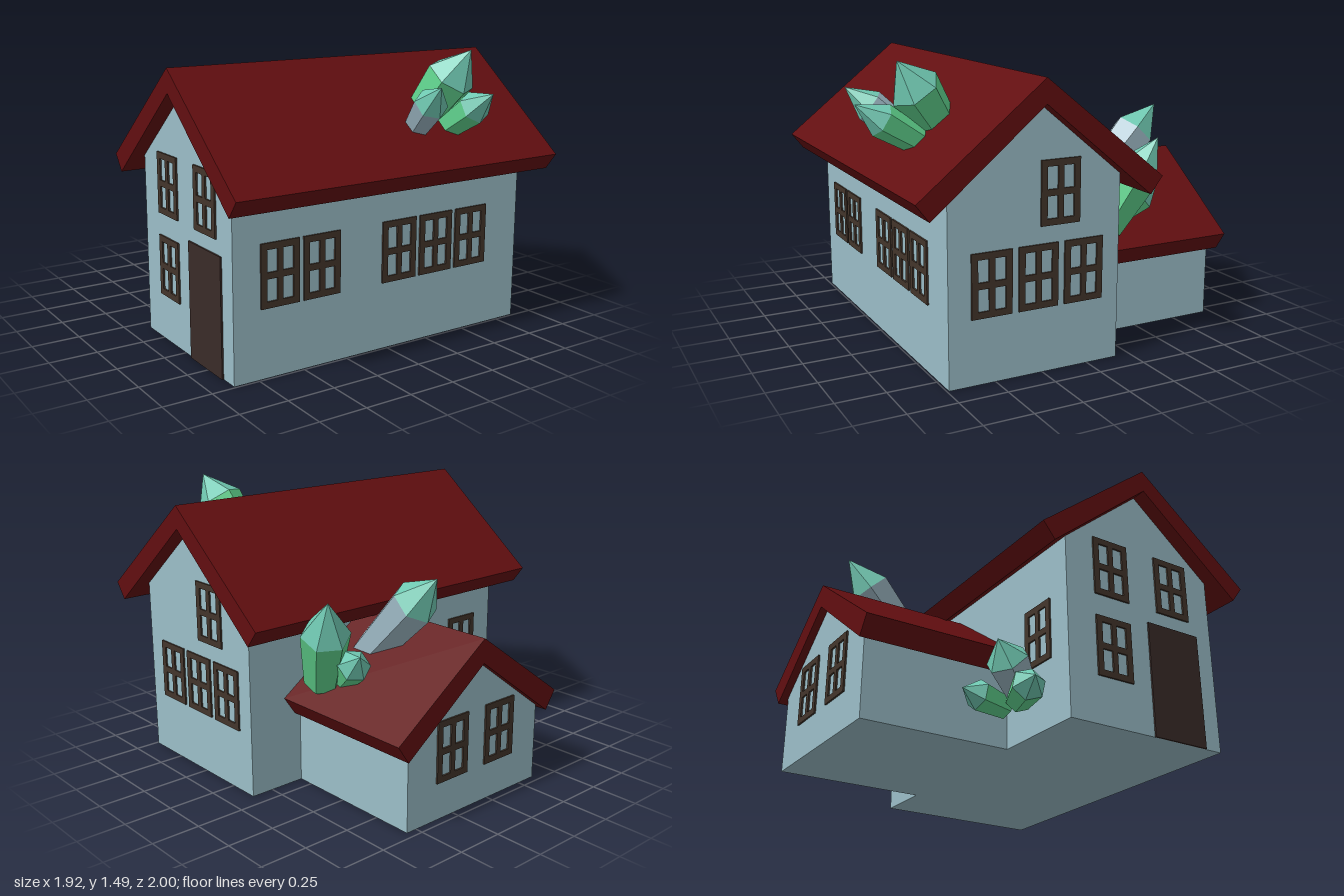
import * as THREE from 'three';

const mat = (name, color, extra = {}) => {
  const m = new THREE.MeshStandardMaterial({ color, ...extra });
  m.name = name;
  return m;
};

export function createModel() {
  const model = new THREE.Group();
  model.name = 'crystalCottage';
  const wall = mat('pale blue wall', 0x9bbec8);
  const roof = mat('dark red roof', 0x620e10);
  const frame = mat('brown frame', 0x43352b);
  const doorMat = mat('dark door', 0x3a2b28);
  const flat = { flatShading: true };
  const teal = mat('teal crystal tip', 0x70c9b2, flat);
  const green = mat('green crystal', 0x62d690, flat);
  const grey = mat('blue grey crystal', 0x9fbac6, flat);

  const add = (parent, name, geo, m) => {
    const mesh = new THREE.Mesh(geo, m);
    mesh.name = name;
    parent.add(mesh);
    return mesh;
  };
  const shapeOf = (pts) => new THREE.Shape(pts.map(([x, y]) => new THREE.Vector2(x, y)));
  const extrude = (shape, depth) => new THREE.ExtrudeGeometry(shape, { depth, bevelEnabled: false });

  // Gabled block: walls and an overhanging chevron roof, ridge along local z
  function gabled(name, { half, apex, ridge, eave, soffit, wallZ, roofZ }) {
    const g = new THREE.Group();
    g.name = name;
    const shoulder = apex - (half * (apex - soffit[1])) / soffit[0];
    const walls = extrude(shapeOf([[-half, 0], [half, 0], [half, shoulder], [0, apex], [-half, shoulder]]), wallZ[1] - wallZ[0]);
    add(g, name + 'Walls', walls.translate(0, 0, wallZ[0]), wall);
    const [ex, ey] = eave, [sx, sy] = soffit;
    const top = extrude(shapeOf([[sx, sy], [ex, ey], [0, ridge], [-ex, ey], [-sx, sy], [0, apex]]), roofZ[1] - roofZ[0]);
    add(g, name + 'Roof', top.translate(0, 0, roofZ[0]), roof);
    model.add(g);
    return g;
  }
  const main = gabled('mainHouse', {
    half: 0.455, apex: 1.315, ridge: 1.435, eave: [0.64, 0.925], soffit: [0.575, 0.84],
    wallZ: [-0.88, 0.87], roofZ: [-0.96, 0.96],
  });
  main.rotation.y = Math.PI / 2;
  main.position.z = 0.285;
  const wing = gabled('backWing', {
    half: 0.46, apex: 0.745, ridge: 0.87, eave: [0.56, 0.475], soffit: [0.495, 0.38],
    wallZ: [-0.96, -0.17], roofZ: [-1, -0.17],
  });
  wing.position.x = 0.1;

  // Four-pane window frame
  const W = 0.21, H = 0.315;
  const frameShape = shapeOf([[-W / 2, -H / 2], [W / 2, -H / 2], [W / 2, H / 2], [-W / 2, H / 2]]);
  for (const sx of [-1, 1]) for (const sy of [-1, 1]) {
    const a = sx * 0.015, b = sx * 0.072, c = sy * 0.016, d = sy * 0.125;
    frameShape.holes.push(new THREE.Path([[a, c], [b, c], [b, d], [a, d]].map((p) => new THREE.Vector2(...p))));
  }
  const frameGeo = extrude(frameShape, 0.009);
  const windowAt = (x, y, z, turn) => {
    const w = add(model, 'window', frameGeo, frame);
    w.position.set(x, y, z);
    w.rotation.y = turn;
  };
  for (const x of [-0.63, -0.395, 0.07, 0.305, 0.54]) windowAt(x, 0.505, 0.74, 0);
  for (const [z, y] of [[0.52, 0.485], [0.275, 0.485], [0.03, 0.485], [0.16, 0.885]]) windowAt(0.87, y, z, Math.PI / 2);
  for (const [z, y] of [[0.1, 0.4], [0.1, 0.83], [0.49, 0.83]]) windowAt(-0.88, y, z, -Math.PI / 2);
  for (const x of [0.265, -0.07]) windowAt(x, 0.35, -0.96, Math.PI);
  windowAt(-0.64, 0.5, -0.17, Math.PI);

  // Door on the right gable end
  add(model, 'door', new THREE.BoxGeometry(0.009, 0.6, 0.32), doorMat).position.set(-0.8845, 0.3, 0.48);

  // Six-sided crystal running from base to tip
  function crystal(base, tip, r, body, shoulder = 0.66) {
    const from = new THREE.Vector3(...base);
    const dir = new THREE.Vector3(...tip).sub(from);
    const L = dir.length();
    const g = new THREE.Group();
    g.name = 'crystal';
    const band = (name, pts, m) =>
      add(g, name, new THREE.LatheGeometry(pts.map(([x, y]) => new THREE.Vector2(x * r, y * L)), 6), m);
    band('crystalFoot', [[0, 0], [0.75, 0.07]], grey);
    band('crystalBody', [[0.75, 0.07], [1, shoulder]], body);
    band('crystalTip', [[1, shoulder], [0, 1]], teal);
    g.position.copy(from);
    g.quaternion.setFromUnitVectors(new THREE.Vector3(0, 1, 0), dir.normalize());
    model.add(g);
  }
  // Front roof cluster
  crystal([0.35, 1.07, 0.5], [0.455, 1.485, 0.8], 0.13, green);
  crystal([0.24, 1.06, 0.62], [0.14, 1.335, 0.95], 0.085, grey);
  crystal([0.42, 1.05, 0.62], [0.425, 1.29, 1.0], 0.085, green);
  // Cluster on the wing roof
  crystal([0.25, 0.6, -0.28], [0.235, 1.145, -0.81], 0.12, grey, 0.74);
  crystal([0.52, 0.54, -0.3], [0.67, 1.05, -0.53], 0.125, green, 0.64);
  crystal([0.45, 0.58, -0.38], [0.55, 0.78, -0.62], 0.085, green);
  // Cluster in the corner between house and wing
  crystal([-0.52, 0.2, -0.17], [-0.665, 0.41, -0.42], 0.11, grey);
  crystal([-0.45, 0.17, -0.22], [-0.48, 0.21, -0.5], 0.08, green);
  crystal([-0.52, 0.18, -0.22], [-0.81, 0.2, -0.31], 0.085, green);

  return model;
}
